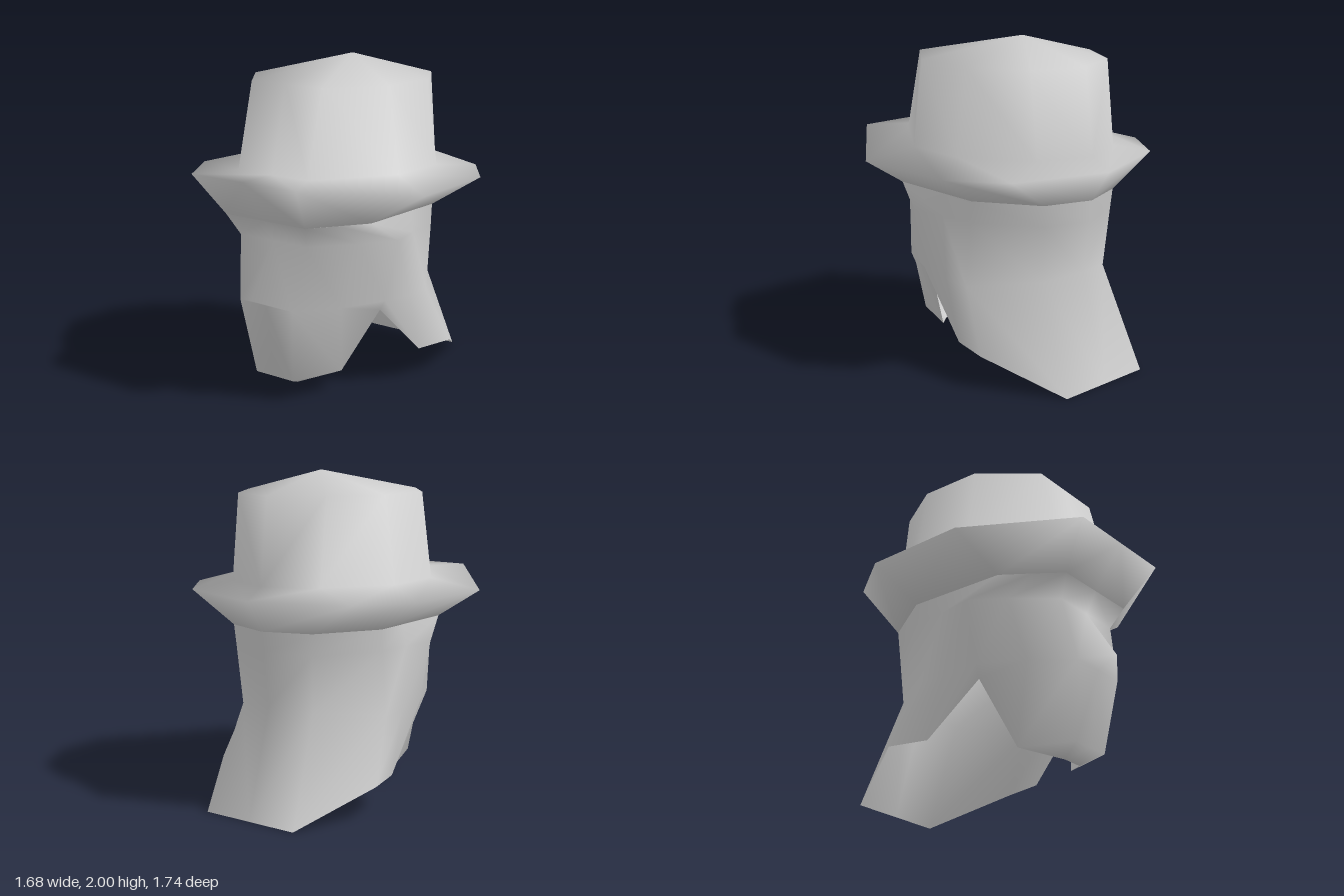
import * as THREE from 'three';
import { mergeVertices } from 'three/addons/utils/BufferGeometryUtils.js';

// Half section at one height, from front centre round the left side to back centre
const level = (y, pts) => pts.map(([x, z]) => [x, y, z]);
const flip = ([x, y, z]) => [-x, y, z];
const ring = (half) => [...half, ...half.slice(1, -1).reverse().map(flip)];

function smooth(triangles) {
  const g = new THREE.BufferGeometry();
  g.setAttribute('position', new THREE.Float32BufferAttribute(triangles.flat(2), 3));
  const merged = mergeVertices(g, 1e-4);
  merged.computeVertexNormals();
  return merged;
}

// Mirrored triangles between successive rings, listed from top to bottom
function skin(halves) {
  const rows = halves.map(ring);
  const tris = [];
  for (let r = 0; r < rows.length - 1; r++) {
    const n = rows[r].length;
    for (let i = 0; i < n; i++) {
      const j = (i + 1) % n;
      const a = rows[r][i], b = rows[r][j], c = rows[r + 1][i], d = rows[r + 1][j];
      if (i < n / 2) tris.push([a, c, d], [a, d, b]);
      else tris.push([a, c, b], [b, c, d]);
    }
  }
  // Drop triangles that collapse where rings share points
  return tris.filter((t) => new Set(t.map((p) => p.join())).size === 3);
}

export function createModel() {
  const grey = new THREE.MeshStandardMaterial({ color: 0xcccccc, side: THREE.DoubleSide });
  grey.name = 'light grey';
  const model = new THREE.Group();
  model.name = 'hattedHead';
  const add = (name, tris) => {
    const mesh = new THREE.Mesh(smooth(tris), grey);
    mesh.name = name;
    model.add(mesh);
  };

  // Hat: low peak, shoulder, crown base, rim raised at the front, underside of the brim
  add('hat', skin([
    Array.from({ length: 6 }, () => [0, 2, -0.16]),
    level(1.87, [[0, 0.48], [0.26, 0.48], [0.51, 0.16], [0.51, -0.23], [0.32, -0.55], [0, -0.68]]),
    level(1.36, [[0, 0.61], [0.26, 0.61], [0.58, 0.16], [0.58, -0.23], [0.32, -0.61], [0, -0.74]]),
    [[0, 1.36, 0.87], [0.39, 1.36, 0.87], [0.84, 1.29, 0.29], [0.81, 1.29, -0.36], [0.58, 1.29, -0.68], [0, 1.29, -0.87]],
    level(1.1, [[0, 0.68], [0.3, 0.68], [0.52, 0.35], [0.52, -0.28], [0.29, -0.64], [0, -0.74]]),
  ]));

  // Head: brow, nose, cheeks, beard in front and long hair behind, open below
  const cheeks = [[0.2, 0.59, 0.68], [0.38, 0.59, 0.45], [0.5, 0.59, 0.18], [0.52, 0.57, -0.05],
    [0.52, 0.57, -0.23], [0.26, 0.62, -0.6], [0, 0.65, -0.68]];
  const noseTip = [0, 0.65, 0.81], lip = [0, 0.59, 0.68];
  const beardFront = [0, 0.13, 0.61], beardCorner = [0.14, 0.13, 0.61], beardSide = [0.26, 0.13, 0.29];
  const head = skin([
    level(1.1, [[0, 0.68], [0.3, 0.68], [0.41, 0.52], [0.52, 0.35], [0.52, -0.05], [0.52, -0.28], [0.29, -0.64], [0, -0.74]]),
    level(0.97, [[0, 0.61], [0.25, 0.61], [0.45, 0.37], [0.58, 0.16], [0.54, -0.05], [0.52, -0.27], [0.28, -0.63], [0, -0.725]]),
    [noseTip, ...cheeks],
    [lip, ...cheeks],
    [beardFront, beardCorner, beardSide, [0.45, 0.52, 0.16], [0.52, 0.2, -0.16], [0.58, 0.2, -0.42], [0.32, 0, -0.87], [0, 0, -0.87]],
  ]);
  // Chin tip under the beard
  const chin = [0.07, 0.07, 0.48];
  head.push(
    [beardCorner, chin, beardSide],
    [flip(beardCorner), flip(beardSide), flip(chin)],
    [beardFront, chin, beardCorner],
    [beardFront, flip(beardCorner), flip(chin)],
    [beardFront, flip(chin), chin],
  );
  add('headWithBeardAndHair', head);

  return model;
}
